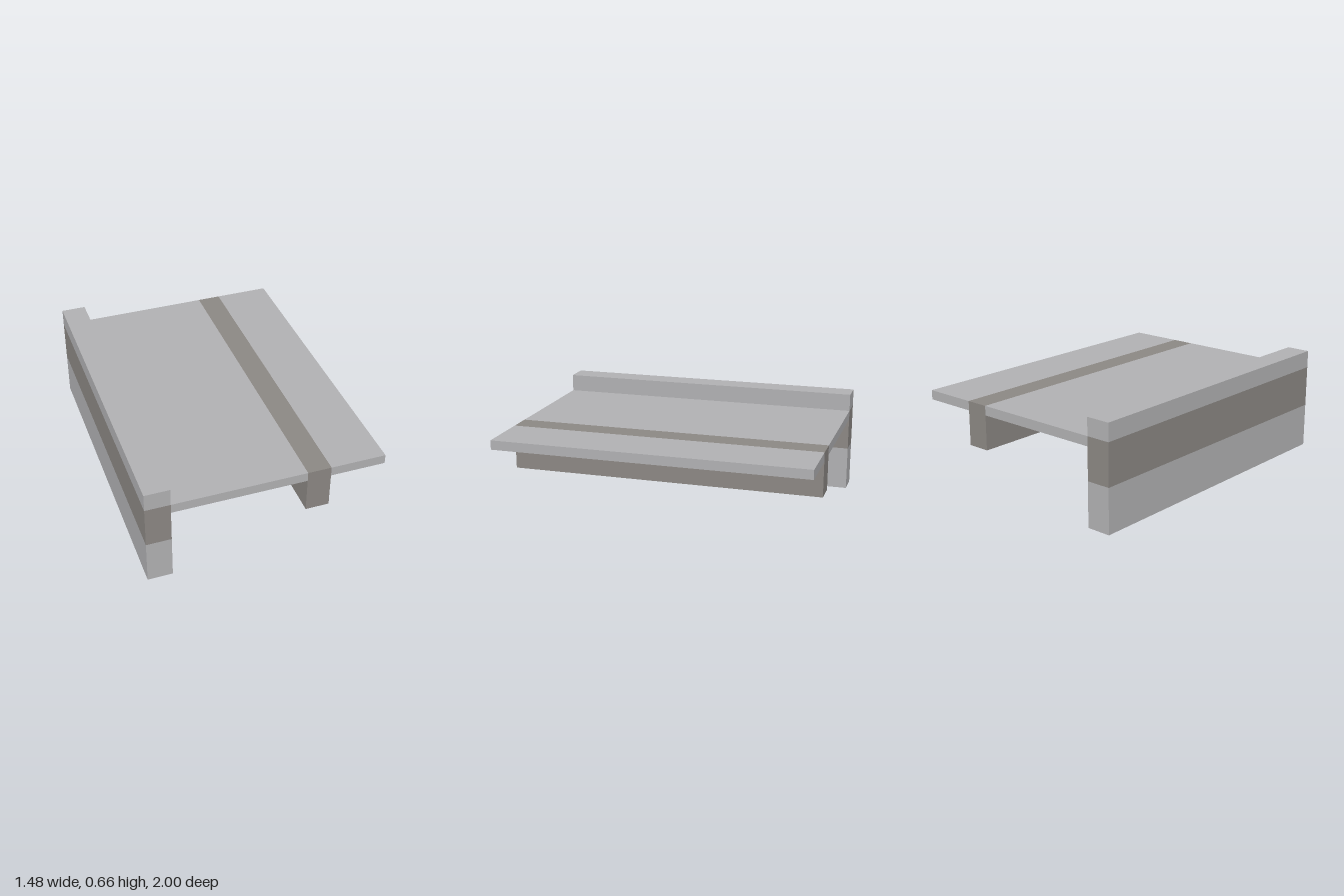
import * as THREE from 'three';

export function createModel() {
  const model = new THREE.Group();
  model.name = 'ribbedSlab';
  const grey = new THREE.MeshStandardMaterial({ name: 'concreteGrey', color: 0xb0b0b2 });
  const brown = new THREE.MeshStandardMaterial({ name: 'warmGrey', color: 0x8b8783 });

  // Full-length block between two corners of the front section
  function block(name, x0, x1, y0, y1, material) {
    const mesh = new THREE.Mesh(new THREE.BoxGeometry(x1 - x0, y1 - y0, 2), material);
    mesh.position.set((x0 + x1) / 2, (y0 + y1) / 2, 0);
    mesh.name = name;
    model.add(mesh);
  }

  const edge = 0.742, inner = -0.587, top = 0.548, under = 0.488;
  const ribLeft = 0.247, ribRight = 0.395;

  // Edge wall in three bands
  block('wallBase', -edge, inner, 0, 0.283, grey);
  block('wallBand', -edge, inner, 0.283, top, brown);
  block('wallParapet', -edge, inner, top, 0.66, grey);

  // Deck on both sides of the rib
  block('deckMain', inner, ribLeft, under, top, grey);
  block('deckOverhang', ribRight, edge, under, top, grey);

  // Supporting rib, flush with the deck top
  block('rib', ribLeft, ribRight, 0.265, top, brown);

  return model;
}
